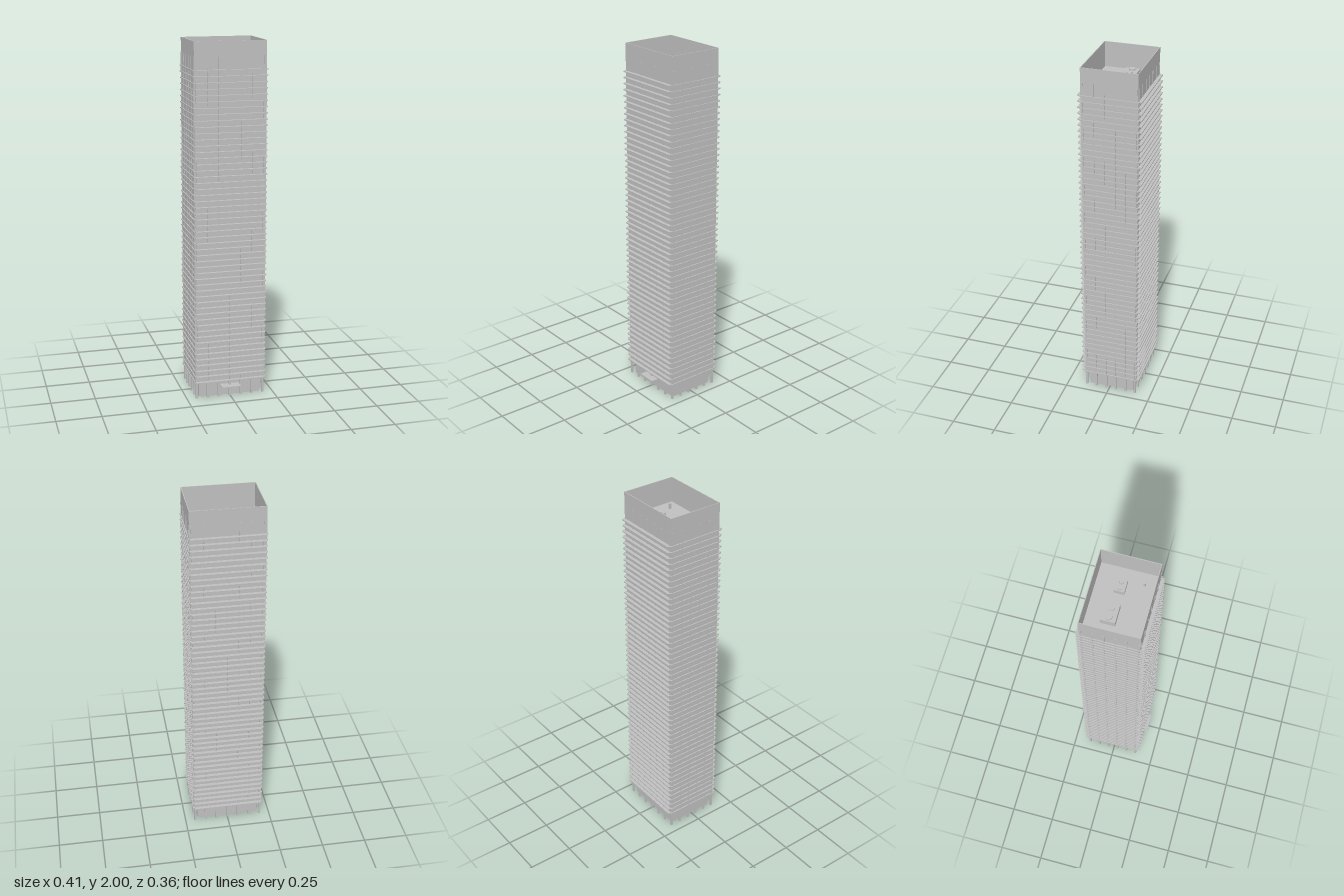
import * as THREE from 'three';

export function createModel() {
  const concrete = new THREE.MeshStandardMaterial({ color: 0xc0c0c0 });
  concrete.name = 'concrete grey';
  const model = new THREE.Group();
  model.name = 'tower';

  // The shaft sits slightly behind the centre because of the entrance canopy
  const W = 0.4, D = 0.309, ZC = -0.0085;
  const BASE = 0.092, ROOF = 1.86, TOP = 2;
  const shaft = new THREE.Group();
  shaft.position.z = ZC;
  model.add(shaft);

  const group = (name) => {
    const g = new THREE.Group();
    g.name = name;
    shaft.add(g);
    return g;
  };
  const box = (parent, name, w, h, d, x, y0, z) => {
    const m = new THREE.Mesh(new THREE.BoxGeometry(w, h, d), concrete);
    m.name = name;
    m.position.set(x, y0 + h / 2, z);
    parent.add(m);
    return m;
  };
  // Four thin walls forming an open rectangle
  const ring = (name, w, d, y0, h, t) => {
    const g = group(name);
    for (const s of [-1, 1]) {
      box(g, name + 'LongWall', w, h, t, 0, y0, s * (d - t) / 2);
      box(g, name + 'ShortWall', t, h, d - 2 * t, s * (w - t) / 2, y0, 0);
    }
  };

  // Main shaft and hollow crown
  box(shaft, 'shaftCore', W, ROOF - BASE, D, 0, BASE, 0);
  ring('parapet', W, D, ROOF, TOP - ROOF, 0.004);

  // Floor bands with deeper ledges on front and back
  const floors = group('floors');
  const FLOORS = 53;
  for (let i = 0; i < FLOORS; i++) {
    const y = 0.094 + i * (1.75 / (FLOORS - 1));
    box(floors, 'floorBand', W + 0.012, 0.006, D + 0.012, 0, y, 0);
    for (const s of [-1, 1])
      box(floors, 'ledge', W - 0.005, 0.006, 0.019, 0, y, s * (D / 2 + 0.0095));
  }

  // Shallow vertical ribs on the facades
  const ribs = group('facadeRibs');
  for (const s of [-1, 1]) {
    for (let i = -3; i <= 3; i++)
      box(ribs, 'rib', 0.007, 1.92 - BASE, 0.003, i * 0.0625, BASE, s * (D / 2 + 0.0015));
    for (let i = 0; i < 6; i++)
      box(ribs, 'rib', 0.003, 1.92 - BASE, 0.007, s * (W / 2 + 0.0015), BASE, (i - 2.5) * 0.058);
  }

  // Street level: recessed lobby, open below, and perimeter columns
  ring('lobby', 0.354, 0.264, 0, BASE, 0.003);
  const columns = group('columns');
  for (const s of [-1, 1]) {
    for (let i = -3; i <= 3; i++)
      box(columns, 'column', 0.012, BASE, 0.012, i * 0.0643, 0, s * (D / 2 - 0.007));
    for (let i = 1; i < 5; i++)
      box(columns, 'column', 0.012, BASE, 0.012, s * (W / 2 - 0.007), 0, (i - 2.5) * 0.059);
  }

  // Entrance canopy
  box(model, 'canopy', 0.109, 0.005, 0.06, 0, 0.06, 0.15);

  // Rooftop plant: housings with pairs of round fans
  const plant = (x, z, w, h, d, r, gap) => {
    const g = new THREE.Group();
    g.name = 'coolingUnit';
    g.position.set(x, ROOF, z);
    model.add(g);
    box(g, 'housing', w, h, d, 0, 0, 0);
    for (const s of [-1, 1]) {
      const fan = new THREE.Mesh(new THREE.CylinderGeometry(r, r, 0.008, 24), concrete);
      fan.name = 'fan';
      fan.position.set(s * gap / 2, h + 0.004, 0);
      g.add(fan);
    }
  };
  plant(-0.067, -0.042, 0.098, 0.04, 0.076, 0.0175, 0.05);
  plant(0.0885, -0.031, 0.067, 0.03, 0.054, 0.0115, 0.033);
  box(model, 'roofVent', 0.01, 0.03, 0.01, 0.131, ROOF, 0.08);

  return model;
}
